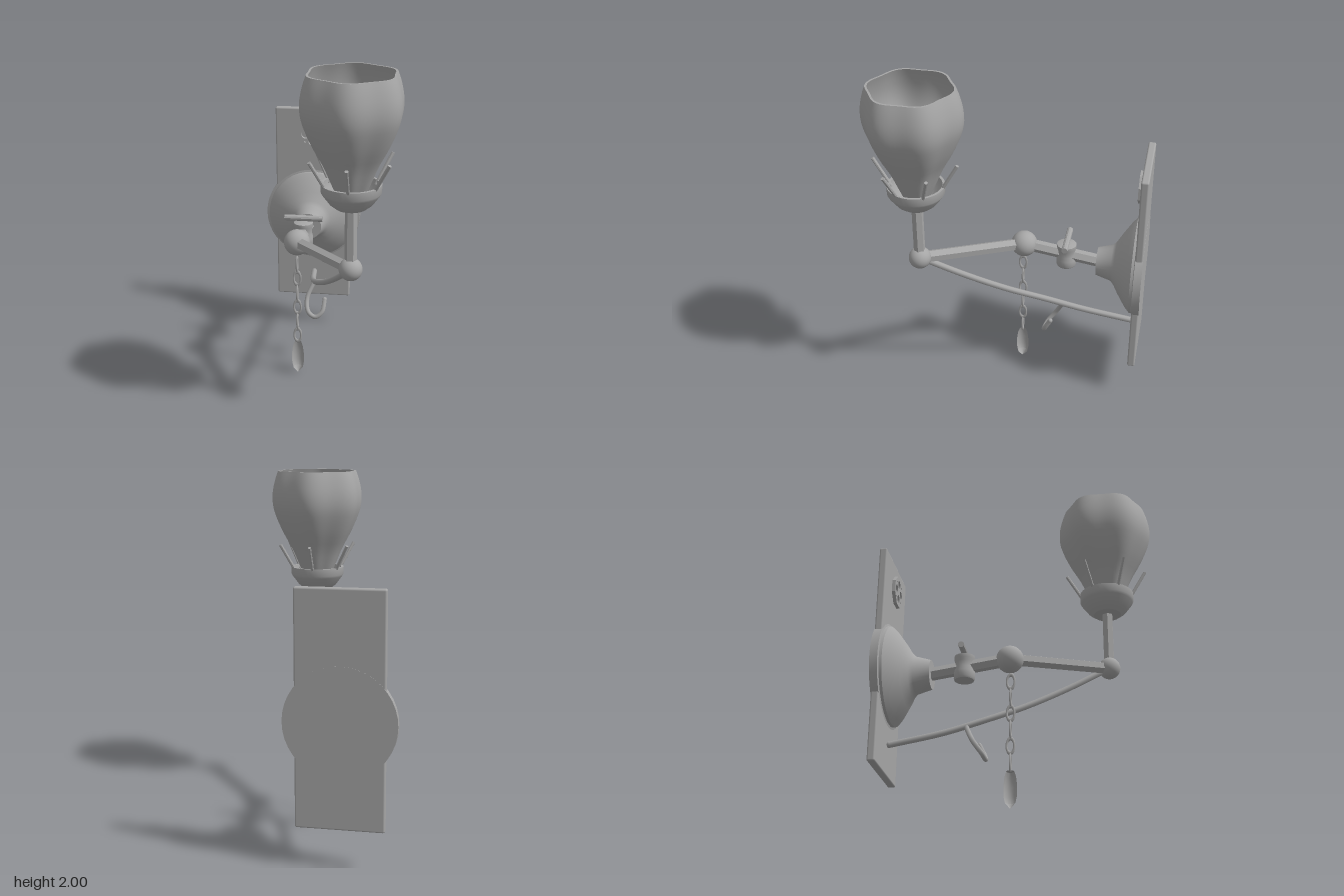
import * as THREE from 'three';
import { toCreasedNormals } from 'three/addons/utils/BufferGeometryUtils.js';
import { RoundedBoxGeometry } from 'three/addons/geometries/RoundedBoxGeometry.js';

const V = (x, y, z) => new THREE.Vector3(x, y, z);

export function createModel() {
  const model = new THREE.Group();
  model.name = 'wallLamp';
  const metal = new THREE.MeshStandardMaterial({ color: 0xa6a6a6 });
  metal.name = 'grey metal';

  const WALL_X = -0.167;
  const elbow = V(WALL_X, 0.857, -0.047);
  const joint = V(0.207, 0.937, 0.489);

  const add = (name, geometry, x = 0, y = 0, z = 0, parent = model) => {
    const mesh = new THREE.Mesh(geometry, metal);
    mesh.name = name;
    mesh.position.set(x, y, z);
    parent.add(mesh);
    return mesh;
  };
  const lathe = (profile, sides = 32) => toCreasedNormals(
    new THREE.LatheGeometry(profile.map(([r, y]) => new THREE.Vector2(r, y)), sides), 0.6);
  // straight bar between two points
  const bar = (name, a, b, radius, sides = 6, parent = model) => {
    const geo = new THREE.CylinderGeometry(radius, radius, a.distanceTo(b), sides).rotateY(Math.PI / 6);
    const mesh = add(name, toCreasedNormals(geo, 0.6), 0, 0, 0, parent);
    mesh.position.copy(a).lerp(b, 0.5);
    mesh.quaternion.setFromUnitVectors(V(0, 1, 0), b.clone().sub(a).normalize());
    return mesh;
  };
  // bent rod with rounded ends
  const rod = (name, points, radius, sides) => {
    const path = new THREE.CatmullRomCurve3(points);
    add(name, new THREE.TubeGeometry(path, 36, radius, sides));
    for (const p of [points[0], points[points.length - 1]])
      add(name + 'End', new THREE.SphereGeometry(radius, 10, 8), p.x, p.y, p.z);
  };

  // wall plate
  add('wallPlate', new RoundedBoxGeometry(0.476, 1.272, 0.044, 2, 0.01), WALL_X, 0.851, -0.743);

  // pierced rosette
  const rosette = new THREE.Shape();
  for (let i = 0; i < 8; i++) {
    const a = Math.PI / 8 + i * Math.PI / 4;
    rosette[i ? 'lineTo' : 'moveTo'](0.094 * Math.cos(a), 0.094 * Math.sin(a));
  }
  rosette.closePath();
  for (let i = 0; i < 8; i++) {
    const a = i * Math.PI / 4, petal = i % 2 === 0, d = petal ? 0.046 : 0.066;
    const hole = new THREE.Path();
    hole.absarc(d * Math.cos(a), d * Math.sin(a), petal ? 0.026 : 0.007, 0, Math.PI * 2, true);
    rosette.holes.push(hole);
  }
  add('rosette', new THREE.ExtrudeGeometry(rosette, { depth: 0.022, bevelEnabled: false, curveSegments: 8 }),
    WALL_X, 1.322, -0.723);

  // flared canopy on the wall
  add('canopy', lathe([
    [0, -0.766], [0.302, -0.766], [0.302, -0.722], [0.285, -0.718], [0.283, -0.703],
    [0.253, -0.675], [0.18, -0.625], [0.13, -0.595], [0.108, -0.575], [0.083, -0.486], [0, -0.486],
  ], 40).rotateX(Math.PI / 2), WALL_X, 0.788, 0);

  // jointed arm
  bar('innerArm', V(WALL_X, 0.79, -0.5), elbow, 0.037);
  add('elbowBall', new THREE.SphereGeometry(0.077, 28, 20), elbow.x, elbow.y, elbow.z);
  bar('outerArm', elbow, joint, 0.036);
  add('jointBall', new THREE.SphereGeometry(0.064, 28, 20), joint.x, joint.y, joint.z);

  // valve with cross handle
  add('valveBody', lathe([
    [0, 0.742], [0.054, 0.742], [0.059, 0.752], [0.059, 0.79], [0.053, 0.815],
    [0.053, 0.85], [0.058, 0.865], [0.058, 0.885], [0.03, 0.893], [0, 0.893],
  ], 24), WALL_X, 0, -0.302);
  bar('valveHandle', V(WALL_X - 0.116, 0.912, -0.304), V(WALL_X + 0.116, 0.912, -0.304), 0.018, 10);

  // curved brace and hook
  rod('brace', [
    V(0.2, 0.925, 0.47), V(0.11, 0.78, 0.25), V(0.015, 0.645, 0.02),
    V(-0.07, 0.54, -0.2), V(-0.125, 0.455, -0.42), V(-0.16, 0.387, -0.71),
  ], 0.018, 8);
  rod('hook', [
    V(-0.1, 0.5, -0.3), V(-0.14, 0.4, -0.255), V(-0.125, 0.33, -0.205),
    V(-0.08, 0.308, -0.19), V(-0.04, 0.34, -0.2), V(-0.028, 0.41, -0.235),
  ], 0.014, 8);

  // pull chain of alternating links
  const chain = new THREE.Group();
  chain.name = 'pullChain';
  chain.position.set(elbow.x, 0, elbow.z + 0.005);
  model.add(chain);
  for (let i = 0; i < 6; i++) {
    const link = new THREE.TorusGeometry(0.021, 0.006, 6, 18).scale(1, 2, 1);
    if (i % 2 === 0) link.rotateY(Math.PI / 2);
    add('chainLink', link, 0, 0.722 - i * 0.0935, 0, chain);
  }
  add('pendant', lathe([
    [0, 0.208], [0.022, 0.204], [0.031, 0.175], [0.037, 0.125], [0.036, 0.07], [0.029, 0.035], [0, 0],
  ], 12), 0, 0, 0, chain);

  // lamp head
  const head = new THREE.Group();
  head.name = 'lampHead';
  head.position.set(joint.x, 0, joint.z);
  model.add(head);
  bar('stem', V(0, 0.937, 0), V(0, 1.32, 0), 0.033, 6, head);
  add('stemTip', new THREE.SphereGeometry(0.033, 16, 12), 0, 1.32, 0, head);
  add('cup', lathe([
    [0, 1.285], [0.08, 1.285], [0.115, 1.312], [0.152, 1.362], [0.16, 1.376], [0.16, 1.42],
    [0.145, 1.42], [0.14, 1.375], [0.1, 1.318], [0, 1.305],
  ], 36), 0, 0, 0, head);
  for (let i = 0; i < 6; i++) {
    const a = Math.PI / 6 + i * Math.PI / 3, c = Math.cos(a), s = Math.sin(a);
    bar('prong', V(0.14 * c, 1.395, 0.14 * s), V(0.236 * c, 1.56, 0.236 * s), 0.01, 8, head);
  }

  // thin-walled shade, softly six-sided
  const wall = new THREE.SplineCurve([
    [0.066, 1.33], [0.108, 1.43], [0.15, 1.53], [0.206, 1.635], [0.25, 1.74],
    [0.266, 1.81], [0.265, 1.88], [0.25, 1.95], [0.233, 2.0],
  ].map(([r, y]) => new THREE.Vector2(r, y))).getPoints(20);
  const inner = wall.map((p) => new THREE.Vector2(p.x - 0.012, p.y)).reverse();
  const shade = new THREE.LatheGeometry([...wall, ...inner, wall[0]], 72);
  const pos = shade.attributes.position;
  for (let i = 0; i < pos.count; i++) {
    const x = pos.getX(i), z = pos.getZ(i);
    const k = 1 - 0.041 * Math.cos(6 * Math.atan2(z, x));
    pos.setXYZ(i, x * k, pos.getY(i), z * k);
  }
  add('shade', toCreasedNormals(shade, 0.7), 0, 0, 0, head);

  return model;
}
